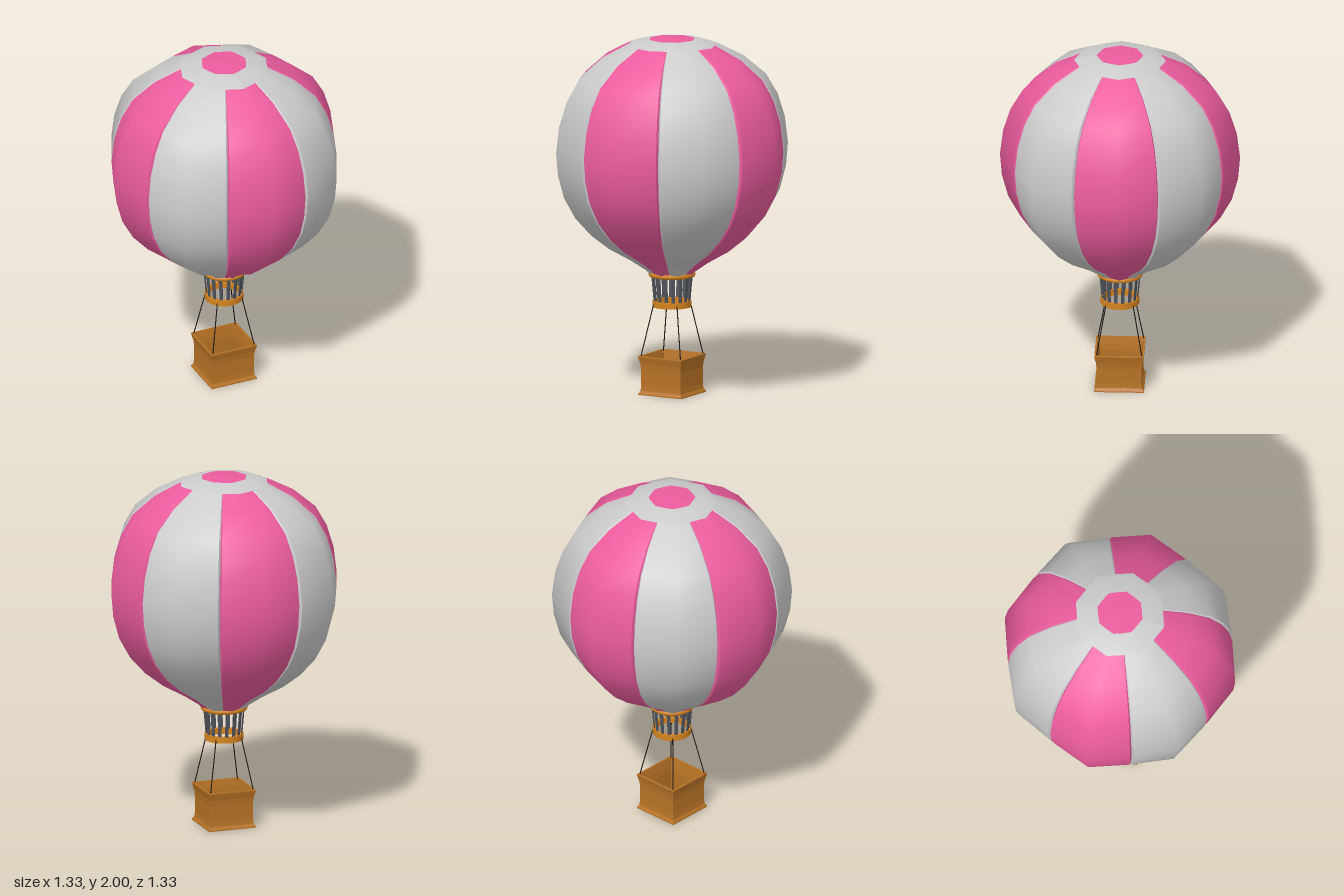
import * as THREE from 'three';
import { mergeGeometries } from 'three/addons/utils/BufferGeometryUtils.js';

const RAD = Math.PI / 180;
const material = (color) => new THREE.MeshStandardMaterial({ color, side: THREE.DoubleSide });

// Envelope outline as [radius, height], bottom to top
const PROFILE = [
  [0.118, 0.67], [0.15, 0.70], [0.235, 0.757], [0.36, 0.828], [0.465, 0.91], [0.555, 1.01],
  [0.62, 1.127], [0.655, 1.255], [0.666, 1.385], [0.648, 1.53], [0.607, 1.66],
  [0.54, 1.775], [0.41, 1.885], [0.255, 1.965],
];
const EDGE = 0.938;   // panel edge radius relative to its middle
const VALLEY = 0.912; // groove between panels

// Smooth grid: every profile ring crossed with columns of [angle in degrees, radius factor]
function patch(profile, columns) {
  const pos = [], index = [], n = columns.length;
  for (const [r, y] of profile)
    for (const [a, s] of columns)
      pos.push(r * s * Math.sin(a * RAD), y, r * s * Math.cos(a * RAD));
  for (let j = 0; j < profile.length - 1; j++)
    for (let i = 0; i < n - 1; i++) {
      const a = j * n + i, b = a + 1, c = a + n, d = c + 1;
      index.push(a, b, d, a, d, c);
    }
  const g = new THREE.BufferGeometry();
  g.setAttribute('position', new THREE.Float32BufferAttribute(pos, 3));
  g.setIndex(index);
  g.computeVertexNormals();
  return g;
}

// One panel with bevelled edges falling into the grooves
function goreGeometry() {
  return mergeGeometries([
    patch(PROFILE, [[-21.6, EDGE], [0, 1], [21.6, EDGE]]),
    patch(PROFILE, [[-22.5, VALLEY], [-21.6, EDGE]]),
    patch(PROFILE, [[21.6, EDGE], [22.5, VALLEY]]),
  ]);
}

export function createModel() {
  const model = new THREE.Group();
  const pink = material(0xec5c9e), grey = material(0xcccccc);
  const orange = material(0xd6841f), wicker = material(0xb87326);
  const steel = material(0x50555c), ropeMat = material(0x1c1a18);
  const add = (name, geometry, mat, parent = model) => {
    const mesh = new THREE.Mesh(geometry, mat);
    mesh.name = name;
    parent.add(mesh);
    return mesh;
  };

  // Envelope panels, alternating colours
  const envelope = new THREE.Group();
  envelope.name = 'envelope';
  model.add(envelope);
  const gore = goreGeometry();
  for (let k = 0; k < 8; k++)
    add(k % 2 ? 'greyPanel' : 'pinkPanel', gore, k % 2 ? grey : pink, envelope).rotation.y = k * 45 * RAD;

  // Crown: grey ring around a pink centre
  const around = [];
  for (let k = 0; k <= 16; k++) around.push([k * 22.5, k % 2 ? EDGE : 1]);
  add('crownRing', patch([[0.257, 1.964], [0.2, 1.984], [0.13, 1.996]], around), grey, envelope);
  add('crownCentre', patch([[0.13, 1.996], [0, 2]], around), pink, envelope);

  // Upper rounded hoop and lower flat hoop
  const topHoop = add('upperHoop', new THREE.TorusGeometry(0.116, 0.015, 8, 32), orange);
  topHoop.rotation.x = Math.PI / 2;
  topHoop.position.y = 0.673;
  const band = [[0.09, 0.525], [0.09, 0.49], [0.108, 0.49], [0.108, 0.525], [0.09, 0.525]];
  for (let i = 0; i < 4; i++) {
    const side = band.slice(i, i + 2).map(([r, y]) => new THREE.Vector2(r, y));
    add('lowerHoop', new THREE.LatheGeometry(side, 32), orange);
  }

  // Slats joining the hoops
  const slats = new THREE.Group();
  slats.name = 'slats';
  model.add(slats);
  for (let k = 0; k < 16; k++) {
    const holder = new THREE.Group();
    holder.rotation.y = (k + 0.5) * 22.5 * RAD;
    const slat = add('slat', new THREE.BoxGeometry(0.019, 0.16, 0.005), steel, holder);
    slat.position.set(0, 0.595, 0.106);
    slat.rotation.x = Math.atan2(0.014, 0.16);
    slats.add(holder);
  }

  // Ropes from the lower hoop to the basket corners
  for (const sx of [-1, 1])
    for (const sz of [-1, 1]) {
      const path = new THREE.LineCurve3(
        new THREE.Vector3(sx * 0.129, 0.2, sz * 0.129),
        new THREE.Vector3(sx * 0.074, 0.51, sz * 0.074));
      add('rope', new THREE.TubeGeometry(path, 1, 0.003, 6), ropeMat);
    }

  // Square basket: flared outside, over the rim, down to the inner floor
  const walls = [
    [0, 0], [0.138, 0], [0.138, 0.006], [0.128, 0.022], [0.125, 0.05], [0.125, 0.14],
    [0.129, 0.175], [0.138, 0.212], [0.137, 0.218], [0.128, 0.218], [0.12, 0.175],
    [0.116, 0.14], [0.116, 0.015], [0, 0.015],
  ].map(([half, y]) => new THREE.Vector2(half * Math.SQRT2, y));
  const basket = new THREE.LatheGeometry(walls, 4, Math.PI / 4).toNonIndexed();
  basket.computeVertexNormals();
  add('basket', basket, wicker);

  return model;
}
